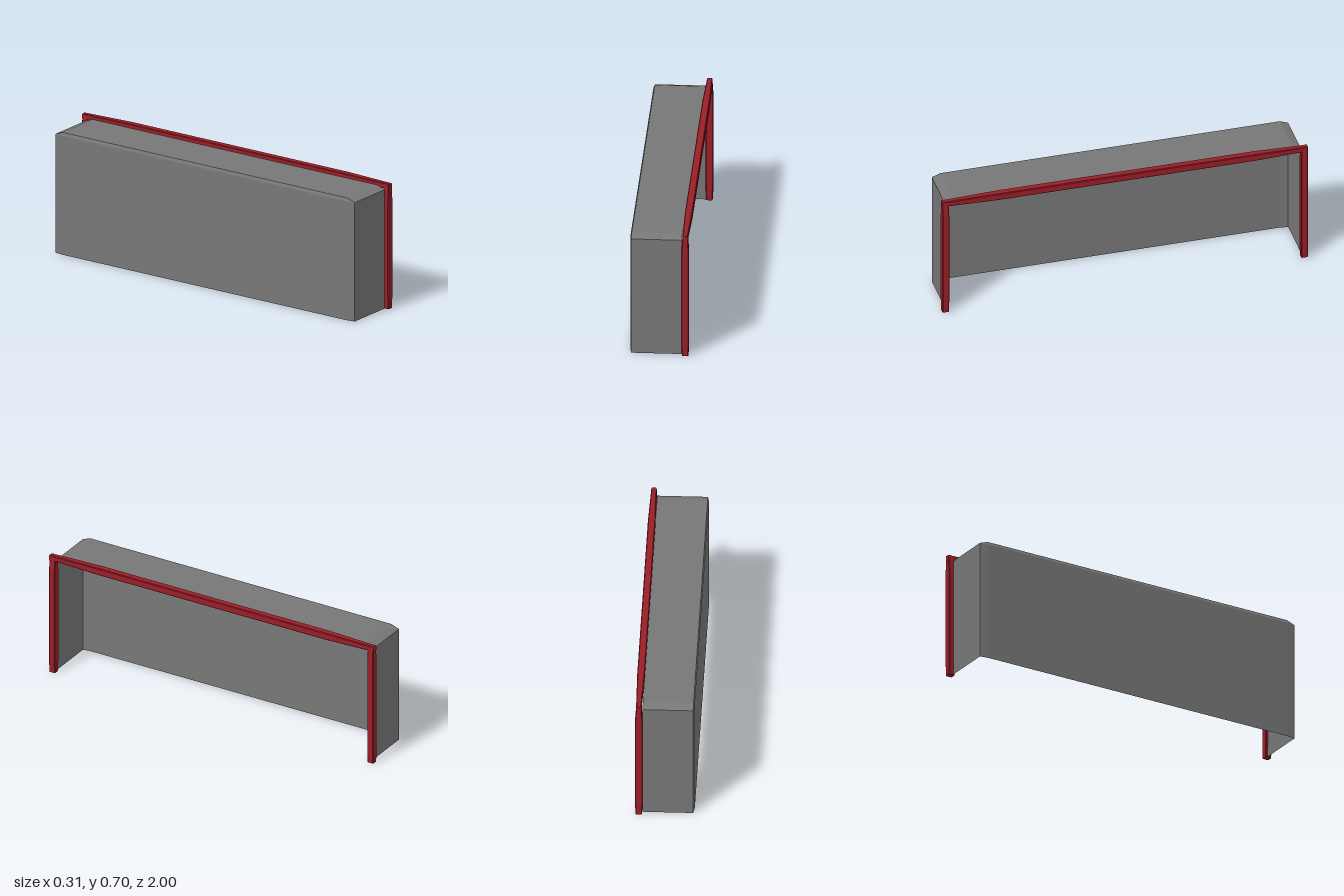
import * as THREE from 'three';

const red = new THREE.MeshStandardMaterial({ color: 0x9b1e27, flatShading: true });
const darkGrey = new THREE.MeshStandardMaterial({ color: 0x777777, flatShading: true, side: THREE.DoubleSide });

// Joins equal-length rings of points with quads; closed rings are capped at both ends, open ones at the last
function loft(rings, closed) {
  const pos = [];
  const tri = (...p) => p.forEach((v) => pos.push(...v));
  const n = rings[0].length;
  for (let r = 0; r + 1 < rings.length; r++) {
    for (let i = 0; i < (closed ? n : n - 1); i++) {
      const j = (i + 1) % n;
      const [a, b, c, d] = [rings[r][i], rings[r][j], rings[r + 1][j], rings[r + 1][i]];
      tri(a, b, c);
      tri(a, c, d);
    }
  }
  const top = rings[rings.length - 1];
  for (let i = 1; i + 1 < n; i++) {
    tri(top[0], top[i], top[i + 1]);
    if (closed) tri(rings[0][0], rings[0][i + 1], rings[0][i]);
  }
  const geo = new THREE.BufferGeometry();
  geo.setAttribute('position', new THREE.Float32BufferAttribute(pos, 3));
  geo.computeVertexNormals();
  return geo;
}

// Bevelled square bar along +z, slimmer at its ends; sections are [z, halfWidth, halfHeight]
function beam(name, sections) {
  const bevel = 0.004;
  const rings = sections.map(([z, w, h]) => [
    [w, -h + bevel, z], [w, h - bevel, z], [w - bevel, h, z], [-w + bevel, h, z],
    [-w, h - bevel, z], [-w, -h + bevel, z], [-w + bevel, -h, z], [w - bevel, -h, z],
  ]);
  const mesh = new THREE.Mesh(loft(rings, true), red);
  mesh.name = name;
  return mesh;
}

export function createModel() {
  const group = new THREE.Group();
  group.name = 'goal';

  // Two upright posts
  for (const side of [1, -1]) {
    const post = beam(side > 0 ? 'frontPost' : 'backPost', [
      [0, 0.017, 0.018], [0.07, 0.02, 0.019], [0.6, 0.02, 0.019], [0.692, 0.014, 0.018],
    ]);
    post.rotation.x = -Math.PI / 2;
    post.position.set(0.136, 0, side * 0.981);
    group.add(post);
  }

  // Crossbar
  const bar = beam('crossbar', [
    [-1, 0.014, 0.0145], [-0.7, 0.02, 0.02], [0.7, 0.02, 0.02], [1, 0.014, 0.0145],
  ]);
  bar.position.set(0.136, 0.679, 0);
  group.add(bar);

  // Net: thin shell, open at the mouth and underneath, chamfered along its outer edges
  const outline = (y, back, inner, outer) => [
    [0.117, y, outer], [-0.15, y, outer], [back, y, inner],
    [back, y, -inner], [-0.15, y, -outer], [0.117, y, -outer],
  ];
  const net = new THREE.Mesh(loft([
    outline(0, -0.157, 0.927, 0.974),
    outline(0.66, -0.157, 0.927, 0.974),
    outline(0.677, -0.15, 0.927, 0.927),
  ], false), darkGrey);
  net.name = 'net';
  group.add(net);

  return group;
}
